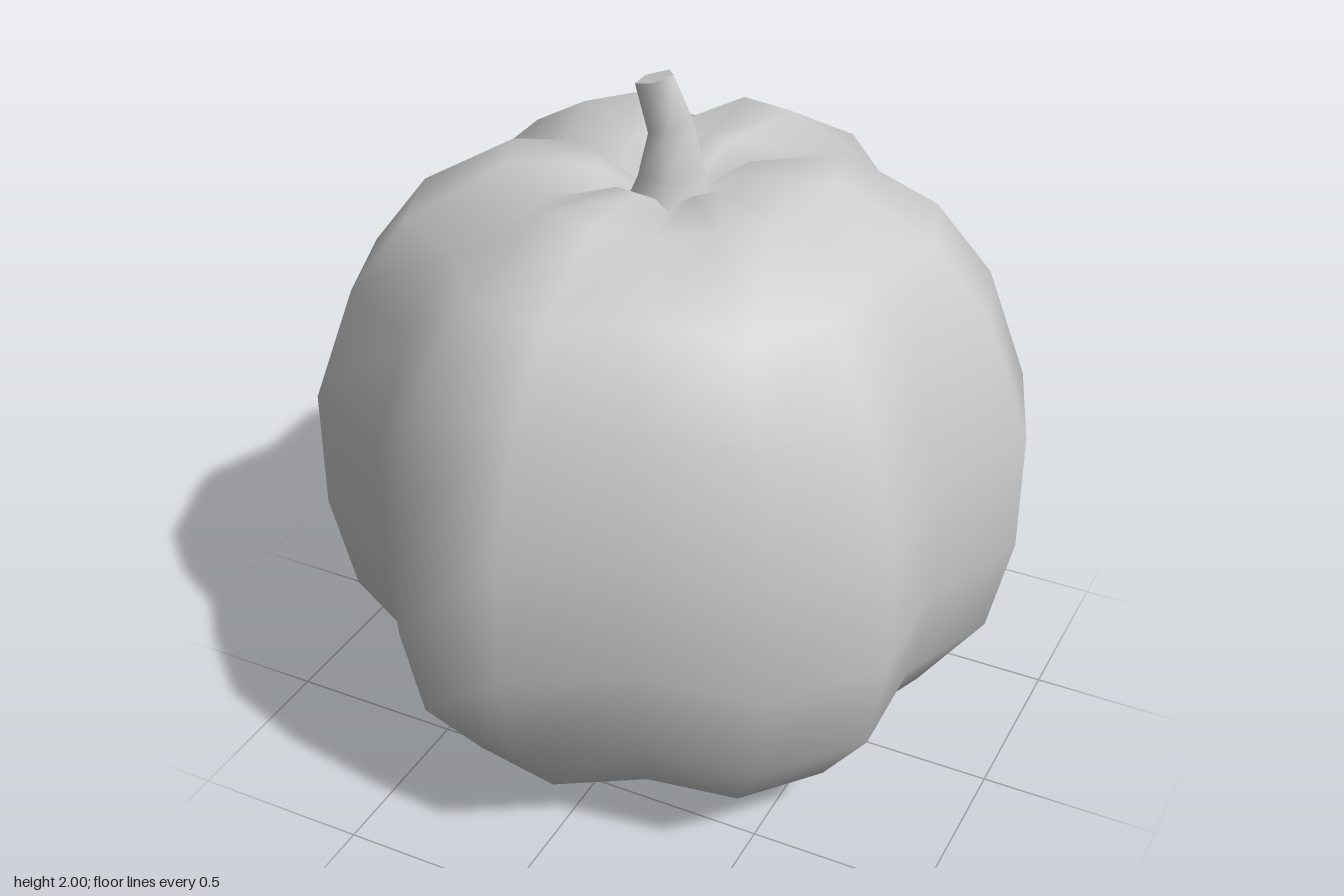
import * as THREE from 'three';

const material = new THREE.MeshStandardMaterial({ color: 0xcccccc });

// Joins closed rings of points, listed bottom to top, into a smooth skin.
// Optional end points close the bottom and the top.
function skin(name, rings, bottom, top) {
  const n = rings[0].length;
  const points = rings.flat();
  const index = [];
  for (let j = 0; j < rings.length - 1; j++) {
    for (let i = 0; i < n; i++) {
      const a = j * n + i, b = j * n + (i + 1) % n;
      index.push(a, a + n, b, b, a + n, b + n);
    }
  }
  if (bottom) {
    const c = points.push(bottom) - 1;
    for (let i = 0; i < n; i++) index.push(c, i, (i + 1) % n);
  }
  if (top) {
    const c = points.push(top) - 1;
    const s = (rings.length - 1) * n;
    for (let i = 0; i < n; i++) index.push(c, s + (i + 1) % n, s + i);
  }
  const geometry = new THREE.BufferGeometry().setFromPoints(points);
  geometry.setIndex(index);
  geometry.computeVertexNormals();
  const mesh = new THREE.Mesh(geometry, material);
  mesh.name = name;
  return mesh;
}

// Six-lobed body: every third column of points is a groove
function createBody() {
  // lobe radius, lobe height, groove radius, groove height
  const profile = [
    [0.20, 0.03, 0.17, 0.09],
    [0.475, 0, 0.37, 0.05],
    [0.745, 0.18, 0.65, 0.18],
    [0.925, 0.42, 0.805, 0.42],
    [0.988, 0.71, 0.862, 0.71],
    [0.988, 1.06, 0.862, 1.06],
    [0.87, 1.39, 0.76, 1.39],
    [0.71, 1.60, 0.62, 1.60],
    [0.445, 1.755, 0.36, 1.71],
    [0.20, 1.74, 0.17, 1.68],
  ];
  const rings = profile.map(([lobeR, lobeY, grooveR, grooveY]) =>
    Array.from({ length: 18 }, (_, i) => {
      const groove = i % 3 === 2;
      const r = groove ? grooveR : lobeR;
      const a = i * Math.PI / 9;
      return new THREE.Vector3(r * Math.sin(a), groove ? grooveY : lobeY, -r * Math.cos(a));
    }));
  return skin('body', rings, new THREE.Vector3(0, 0.14, 0), new THREE.Vector3(0, 1.62, 0));
}

// Bent five-sided stem with a slanted cut top
function createStem() {
  const ring = ([x, y, z, r, slope]) => Array.from({ length: 5 }, (_, i) => {
    const a = i * Math.PI * 2 / 5;
    const dx = r * Math.cos(a);
    return new THREE.Vector3(x + dx, y + dx * slope, z + r * Math.sin(a));
  });
  const end = [-0.042, 1.984, 0.02, 0.053, 0.31];
  const sections = [
    [0.005, 1.62, 0.012, 0.138, 0],
    [0.008, 1.73, 0.015, 0.095, 0.1],
    [0.004, 1.863, 0.02, 0.061, 0.45],
    end,
  ];
  const stem = new THREE.Group();
  stem.name = 'stem';
  stem.add(
    skin('stemSide', sections.map(ring)),
    skin('stemTop', [ring(end)], null, new THREE.Vector3(end[0], end[1], end[2])),
  );
  return stem;
}

export function createModel() {
  const model = new THREE.Group();
  model.name = 'pumpkin';
  model.add(createBody(), createStem());
  return model;
}
